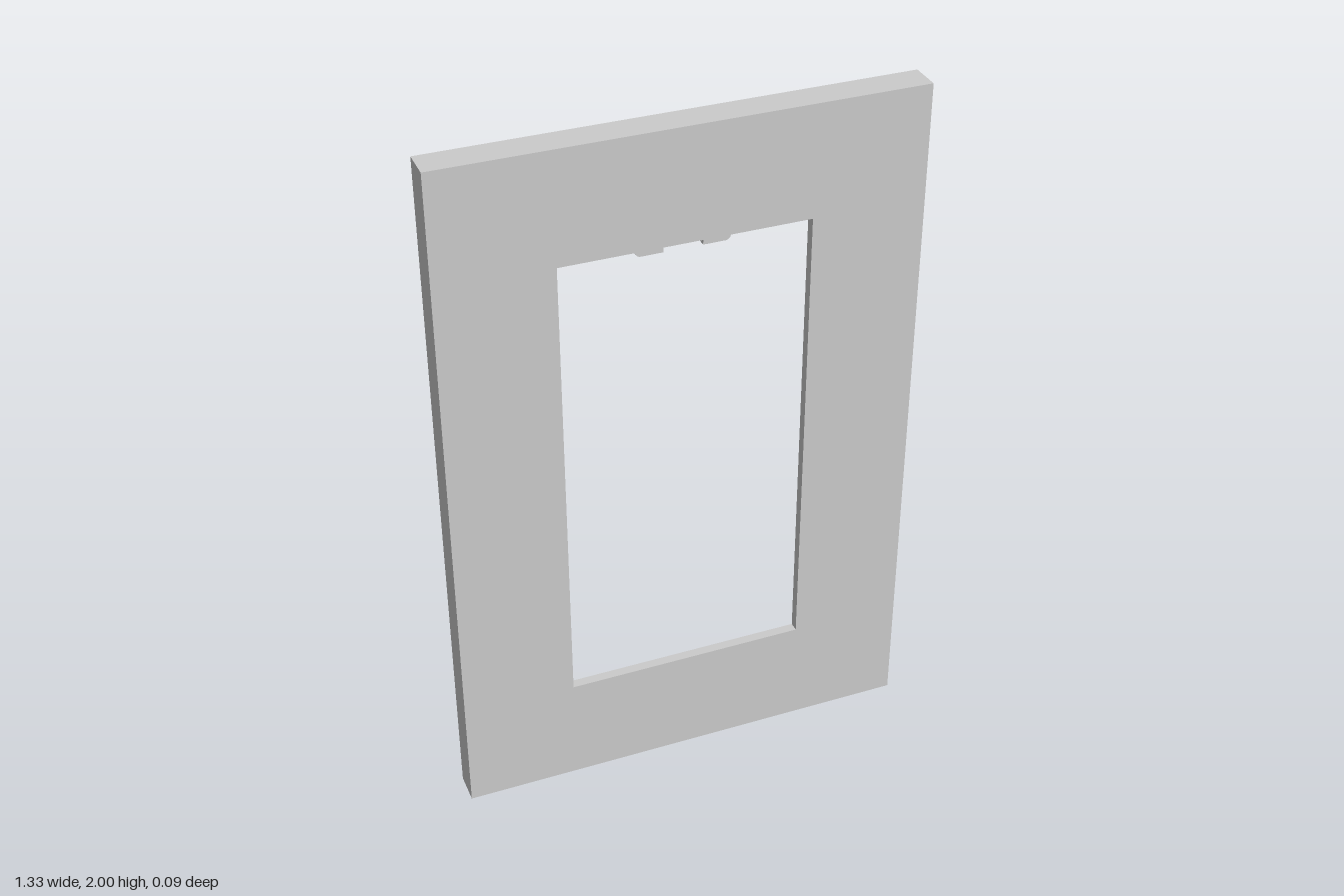
import * as THREE from 'three';

const W = 0.665, H = 2, FRONT = 0.045, BACK = -0.045, LIP = 0.017;

// Sweep an (inset, z) section around the rectangular outline, with mitred corners
function sweepRectangle(section) {
  const corner = (k, [inset, z]) => [
    (k === 1 || k === 2 ? 1 : -1) * (W - inset),
    k >= 2 ? H - inset : inset,
    z,
  ];
  const positions = [];
  for (let k = 0; k < 4; k++) {
    const next = (k + 1) % 4;
    section.forEach((p, i) => {
      const q = section[(i + 1) % section.length];
      const a = corner(k, p), b = corner(next, p), c = corner(next, q), d = corner(k, q);
      positions.push(...a, ...b, ...c, ...a, ...c, ...d);
    });
  }
  const geometry = new THREE.BufferGeometry();
  geometry.setAttribute('position', new THREE.Float32BufferAttribute(positions, 3));
  geometry.computeVertexNormals();
  return geometry;
}

function rectangle(x0, y0, x1, y1) {
  return new THREE.Shape([
    new THREE.Vector2(x0, y0), new THREE.Vector2(x1, y0),
    new THREE.Vector2(x1, y1), new THREE.Vector2(x0, y1),
  ]);
}

export function createModel() {
  const model = new THREE.Group();
  model.name = 'pictureFrame';
  const material = new THREE.MeshStandardMaterial({ color: 0xcccccc });

  const add = (parent, name, geometry, x = 0, y = 0, z = 0) => {
    const mesh = new THREE.Mesh(geometry, material);
    mesh.name = name;
    mesh.position.set(x, y, z);
    parent.add(mesh);
    return mesh;
  };

  // Frame with a recess at the back and a thin lip around the opening
  add(model, 'frame', sweepRectangle([
    [0, FRONT], [0.32, FRONT], [0.32, LIP], [0.185, LIP], [0.185, BACK], [0, BACK],
  ]));

  // Hat-shaped sheet metal hanger in the recess
  const hanger = new THREE.Group();
  hanger.name = 'hanger';
  model.add(hanger);
  const bottom = 1.65, top = 1.815, half = 0.06, outer = 0.13, t = 0.006;
  const sheet = { depth: t, bevelEnabled: false, curveSegments: 12 };

  // Raised centre plate with keyhole
  const plate = rectangle(-half, bottom, half, top);
  const keyhole = new THREE.Path();
  const r = 0.026, s = 0.012, cy = 1.715, a = Math.acos(s / r);
  keyhole.absarc(0, cy, r, Math.PI - a, a + Math.PI * 2, false);
  keyhole.absarc(0, 1.765, s, 0, Math.PI, false);
  keyhole.closePath();
  plate.holes.push(keyhole);
  add(hanger, 'keyholePlate', new THREE.ExtrudeGeometry(plate, sheet), 0, 0, BACK);

  // Foot with rounded outer corners and a screw hole
  const c = 0.015;
  const foot = new THREE.Shape();
  foot.moveTo(half - t, bottom);
  foot.lineTo(outer - c, bottom);
  foot.absarc(outer - c, bottom + c, c, -Math.PI / 2, 0, false);
  foot.lineTo(outer, top - c);
  foot.absarc(outer - c, top - c, c, 0, Math.PI / 2, false);
  foot.lineTo(half - t, top);
  foot.closePath();
  foot.holes.push(new THREE.Path().absarc(0.095, 1.733, 0.008, 0, Math.PI * 2, true));
  const footGeometry = new THREE.ExtrudeGeometry(foot, sheet);

  const wallDepth = LIP - BACK - 2 * t;
  for (const side of [-1, 1]) {
    const name = side > 0 ? 'left' : 'right';
    const mesh = add(hanger, name + 'Foot', footGeometry, 0, 0, LIP - t);
    // A half turn mirrors the symmetric foot to the other side
    if (side < 0) {
      mesh.rotation.z = Math.PI;
      mesh.position.y = bottom + top;
    }
    add(hanger, name + 'Wall', new THREE.BoxGeometry(t, top - bottom, wallDepth),
      side * (half - t / 2), (bottom + top) / 2, (LIP + BACK) / 2);
  }
  return model;
}
